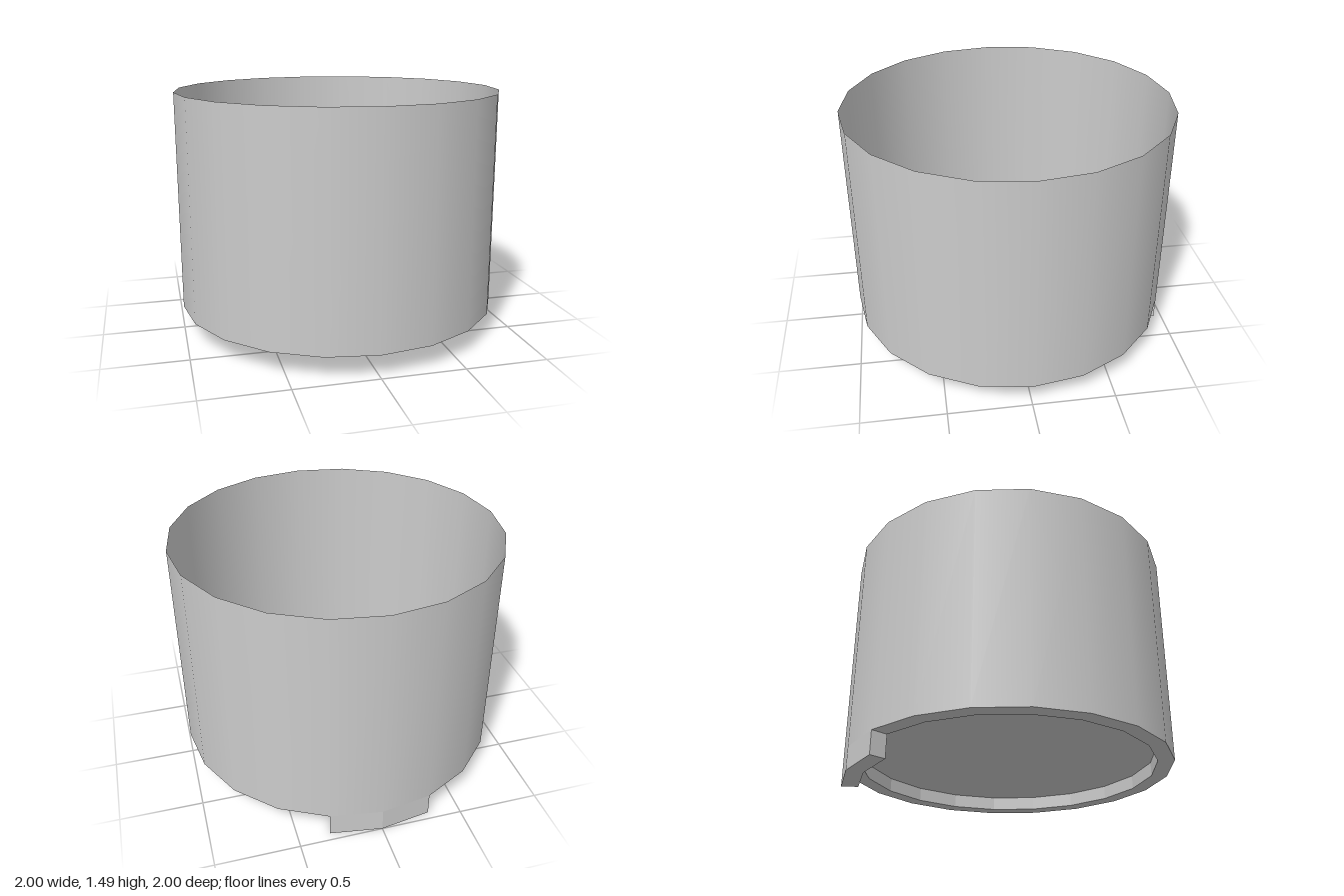
import * as THREE from 'three';

const SIDES = 20;
const OUTER = 1, INNER = 0.9;
const TOP = 1.49, BASE = 0.14, FLOOR = 0.225;

export function createModel() {
  const group = new THREE.Group();
  const smooth = new THREE.MeshStandardMaterial({ color: 0xcccccc, side: THREE.DoubleSide });
  const flat = new THREE.MeshStandardMaterial({ color: 0xcccccc, side: THREE.DoubleSide, flatShading: true });

  const add = (name, geometry, material) => {
    const mesh = new THREE.Mesh(geometry, material);
    mesh.name = name;
    group.add(mesh);
    return mesh;
  };

  // Thin round wall, open at the top
  const wall = new THREE.CylinderGeometry(OUTER, OUTER, TOP - BASE, SIDES, 1, true);
  wall.translate(0, (TOP + BASE) / 2, 0);
  add('wall', wall, smooth);

  // Bottom rim, short step up and recessed floor
  const profile = [[0, FLOOR], [INNER, FLOOR], [INNER, BASE], [OUTER, BASE]]
    .map(([r, y]) => new THREE.Vector2(r, y));
  add('base', new THREE.LatheGeometry(profile, SIDES), flat);

  // Tab hanging from two segments of the rim at the back
  const step = (Math.PI * 2) / SIDES;
  const arc = (r) => [-1, 0, 1].map((i) => new THREE.Vector2(Math.sin(i * step) * r, Math.cos(i * step) * r));
  const outline = new THREE.Shape([...arc(OUTER), ...arc(INNER).reverse()]);
  const tab = new THREE.ExtrudeGeometry(outline, { depth: BASE, bevelEnabled: false });
  tab.rotateX(-Math.PI / 2);
  add('tab', tab, flat);

  return group;
}
